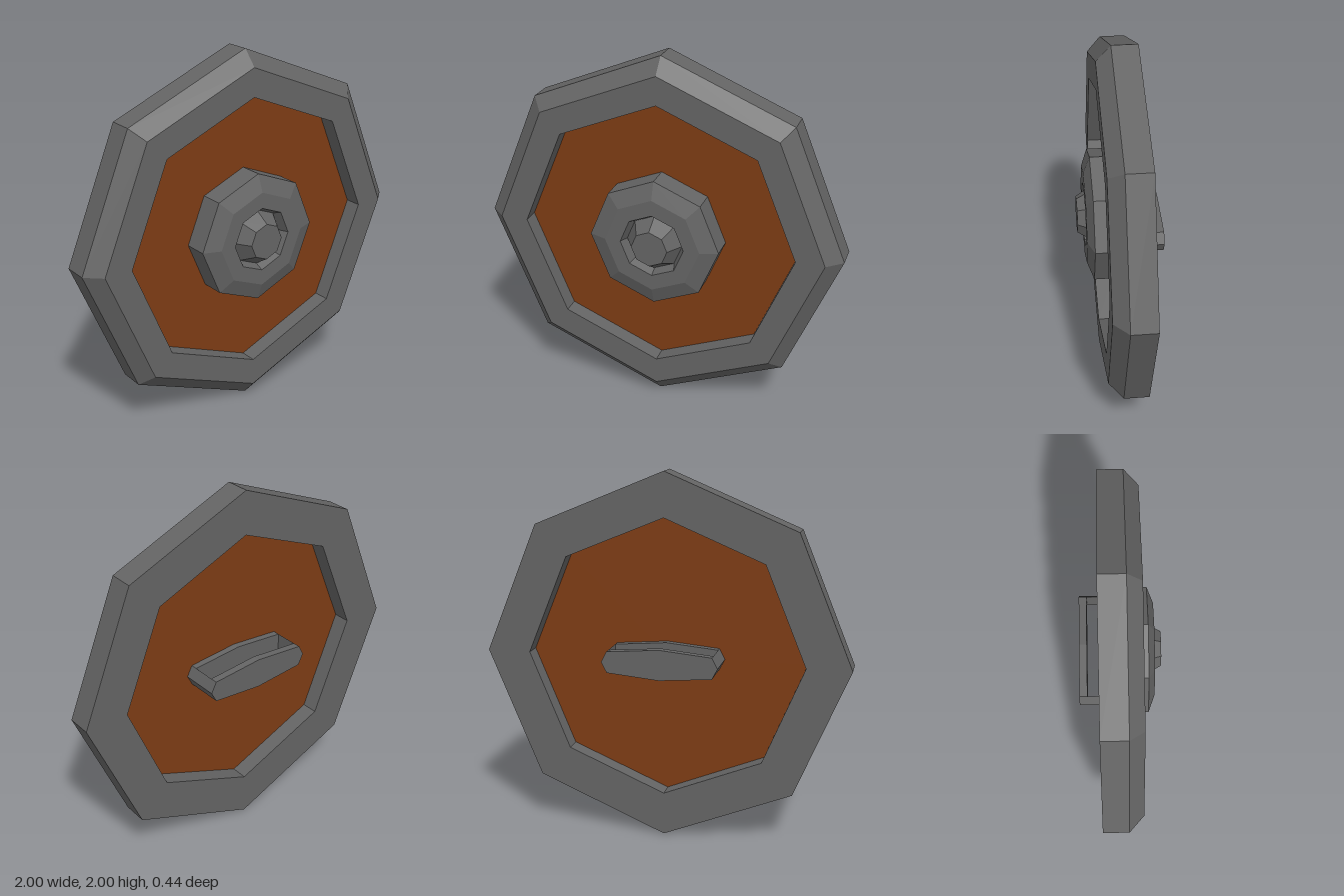
import * as THREE from 'three';

const metal = new THREE.MeshStandardMaterial({ color: 0x646464, flatShading: true });
const wood = new THREE.MeshStandardMaterial({ color: 0x7d3c14, flatShading: true });

// Eight-sided ring or disc from [radius, z] pairs, turned around the z axis
function octagon(name, profile, material) {
  const points = profile.map(([r, z]) => new THREE.Vector2(r, z));
  const mesh = new THREE.Mesh(new THREE.LatheGeometry(points, 8).rotateX(Math.PI / 2), material);
  mesh.name = name;
  return mesh;
}

// Flat outline in x, y given thickness from z0 to z1
function slab(name, outline, z0, z1) {
  const shape = new THREE.Shape(outline.map(([x, y]) => new THREE.Vector2(x, y)));
  const geometry = new THREE.ExtrudeGeometry(shape, { depth: z1 - z0, bevelEnabled: false });
  const mesh = new THREE.Mesh(geometry.translate(0, 0, z0), metal);
  mesh.name = name;
  return mesh;
}

export function createModel() {
  const shield = new THREE.Group();
  shield.name = 'shield';

  // Heavy rim with a bevelled front edge
  shield.add(octagon('rim', [
    [0.76, -0.107], [1, -0.107], [1, 0.03], [0.915, 0.107], [0.76, 0.107], [0.76, -0.107],
  ], metal));

  // Recessed wooden board
  shield.add(octagon('board', [[0, -0.012], [0.8, -0.012], [0.8, 0.012], [0, 0.012]], wood));

  // Central boss with a socket, and the stud inside it
  shield.add(octagon('boss', [
    [0.36, 0], [0.36, 0.145], [0.265, 0.18], [0.177, 0.18], [0.155, 0.13], [0, 0.13],
  ], metal));
  shield.add(octagon('stud', [[0.155, 0.13], [0.1, 0.22], [0, 0.22]], metal));

  // Grip on the back: base plate, hand bar and two end posts
  const grip = new THREE.Group();
  grip.name = 'grip';
  const outline = [
    [0.315, 0], [0.285, 0.058], [0, 0.083], [-0.285, 0.058],
    [-0.315, 0], [-0.285, -0.058], [0, -0.083], [0.285, -0.058],
  ];
  grip.add(slab('gripBase', outline, -0.05, 0));
  grip.add(slab('gripBar', outline, -0.22, -0.178));
  for (const side of [1, -1]) {
    const post = [[0.285 * side, -0.058], [0.315 * side, 0], [0.285 * side, 0.058]];
    grip.add(slab(side > 0 ? 'leftGripPost' : 'rightGripPost', post, -0.178, -0.05));
  }
  shield.add(grip);

  shield.position.y = 1;
  const model = new THREE.Group();
  model.add(shield);
  return model;
}
